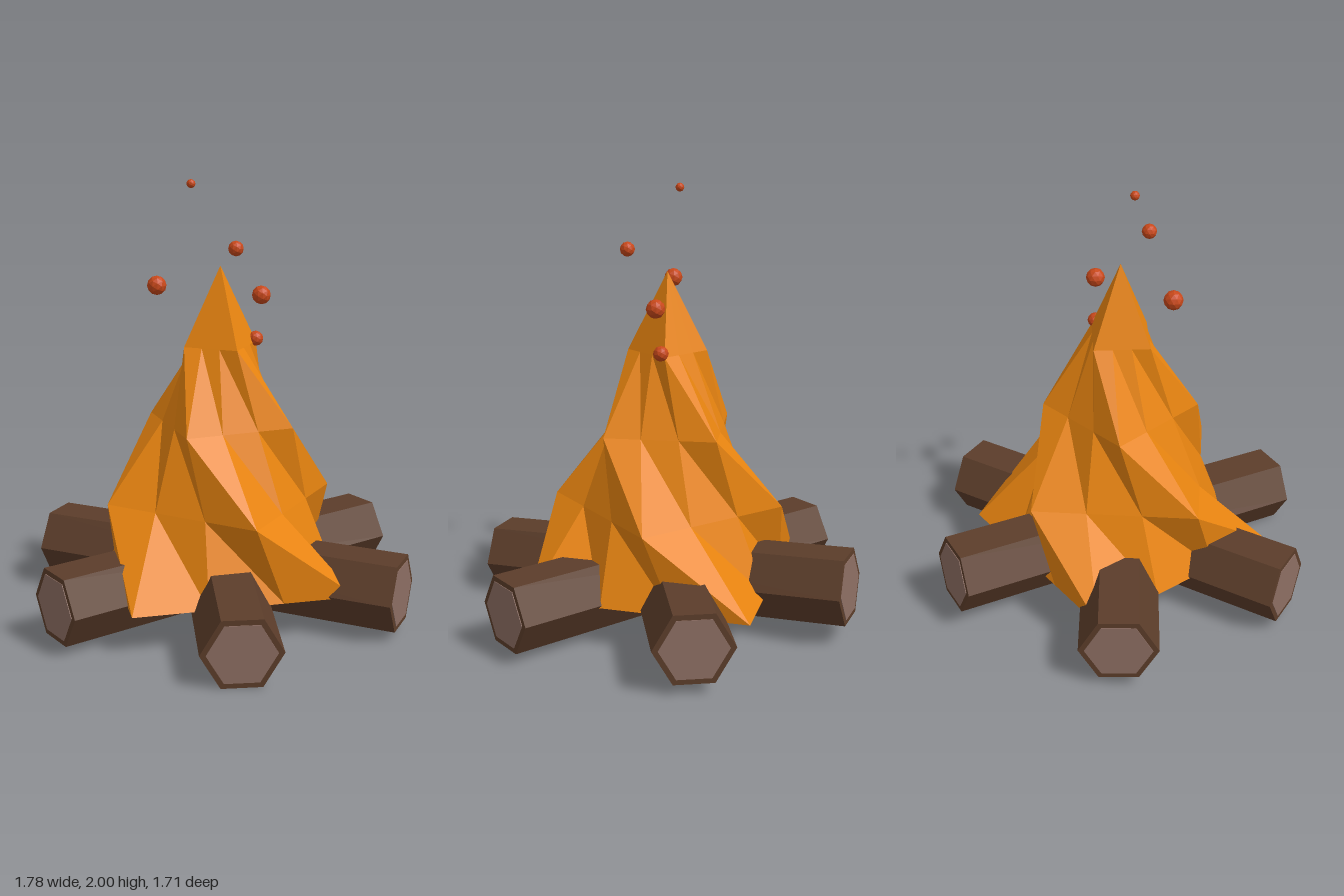
import * as THREE from 'three';

const deg = THREE.MathUtils.degToRad;
const paint = (color) => new THREE.MeshStandardMaterial({ color, flatShading: true });
const bark = paint(0x5c3d2a), cutWood = paint(0x8d6e63);
const fire = paint(0xe88410), ember = paint(0xc8481a);

function part(name, geometry, material) {
  const mesh = new THREE.Mesh(geometry, material);
  mesh.name = name;
  return mesh;
}

// Hexagonal log lying along x, with a paler core showing at both cut ends
function makeLog(yaw, tilt) {
  const log = new THREE.Group();
  log.name = 'log';
  const prism = (r, length) => new THREE.CylinderGeometry(r, r, length, 6).rotateZ(Math.PI / 2);
  log.add(part('logBark', prism(0.177, 1.77), bark));
  log.add(part('logCutEnds', prism(0.15, 1.776), cutWood));
  log.position.y = 0.204;
  log.rotation.set(0, yaw, tilt);
  return log;
}

// Square pyramid, three columns per side, twisted a fixed angle at every ring
function makeFlame() {
  const base = 0.193, step = 0.357, rings = 4;
  const geo = new THREE.ConeGeometry(0.716, step * rings, 12, rings);
  geo.translate(0, base + (step * rings) / 2, 0);
  const pos = geo.attributes.position;
  for (let n = 0; n < pos.count; n++) {
    const x = pos.getX(n), y = pos.getY(n), z = pos.getZ(n);
    const r = Math.hypot(x, z);
    if (r < 1e-5) continue;
    const column = Math.round(Math.atan2(z, x) / (Math.PI / 6));
    const side = Math.floor(column / 3), f = column / 3 - side;
    const twist = deg(7.6) + deg(41.2) * Math.round((y - base) / step);
    const a = twist + side * Math.PI / 2, b = a + Math.PI / 2;
    pos.setX(n, r * THREE.MathUtils.lerp(Math.cos(a), Math.cos(b), f));
    pos.setZ(n, r * THREE.MathUtils.lerp(Math.sin(a), Math.sin(b), f));
  }
  geo.computeVertexNormals();
  return part('flame', geo, fire);
}

export function createModel() {
  const model = new THREE.Group();
  model.name = 'campfire';

  // Three crossed logs, one slightly tipped
  model.add(makeLog(0, 0), makeLog(deg(-60), -0.056), makeLog(deg(-120), 0));
  model.add(makeFlame());

  // Rising sparks: x, y, z, radius
  const sparks = [
    [-0.115, 1.983, 0.06, 0.02],
    [0.13, 1.717, 0.125, 0.034],
    [-0.205, 1.55, 0.225, 0.043],
    [0.152, 1.482, -0.115, 0.043],
    [0.125, 1.28, -0.117, 0.035],
  ];
  for (const [x, y, z, r] of sparks) {
    const spark = part('spark', new THREE.IcosahedronGeometry(r, 1), ember);
    spark.position.set(x, y, z);
    model.add(spark);
  }
  return model;
}
